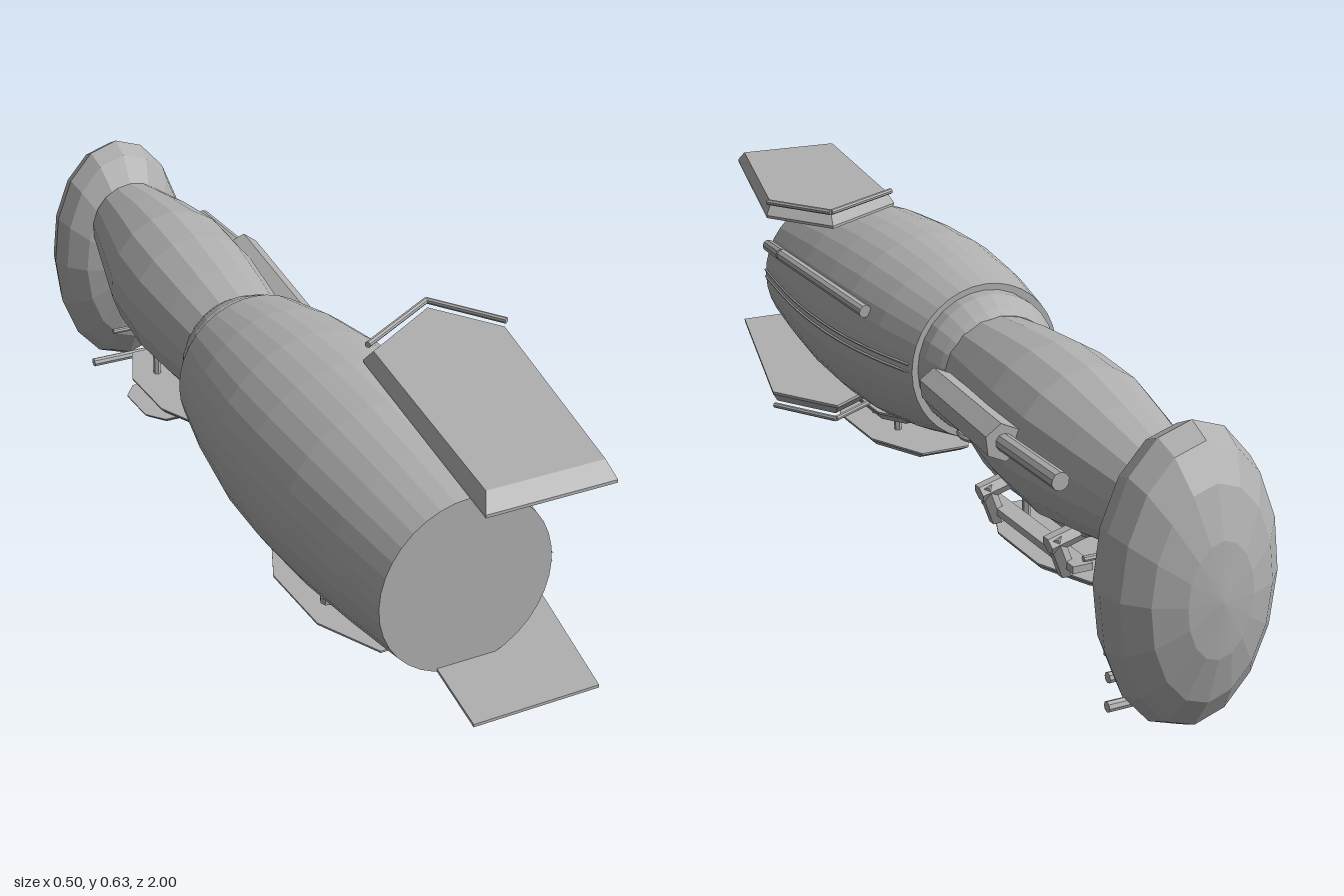
import * as THREE from 'three';
import { ConvexGeometry } from 'three/addons/geometries/ConvexGeometry.js';

export function createModel() {
  const root = new THREE.Group();
  const grey = new THREE.MeshStandardMaterial({ color: 0xb0b0b0, flatShading: true });
  grey.name = 'plainGrey';
  const V = (x, y, z) => new THREE.Vector3(x, y, z);

  const add = (name, geo) => {
    const m = new THREE.Mesh(geo, grey);
    m.name = name;
    root.add(m);
    return m;
  };
  const box = (name, x0, x1, y0, y1, z0, z1) =>
    add(name, new THREE.BoxGeometry(x1 - x0, y1 - y0, z1 - z0)
      .translate((x0 + x1) / 2, (y0 + y1) / 2, (z0 + z1) / 2));
  // straight bar between two points
  const rod = (name, a, b, r, sides = 8) => {
    const m = add(name, new THREE.CylinderGeometry(r, r, a.distanceTo(b), sides));
    m.position.copy(a).lerp(b, 0.5);
    m.quaternion.setFromUnitVectors(V(0, 1, 0), b.clone().sub(a).normalize());
    return m;
  };
  // closed round body along z; each section is [z, x, y, radius]
  const body = (name, sections, sides) => {
    const s = [...sections].sort((a, b) => a[0] - b[0]);
    const pts = s.map(([z, , , r]) => new THREE.Vector2(r, z));
    pts.unshift(new THREE.Vector2(0, s[0][0]));
    pts.push(new THREE.Vector2(0, s[s.length - 1][0]));
    const geo = new THREE.LatheGeometry(pts, sides).rotateX(Math.PI / 2);
    const p = geo.attributes.position;
    for (let i = 0; i < p.count; i++) {
      const z = p.getZ(i);
      const c = s.reduce((a, b) => (Math.abs(b[0] - z) < Math.abs(a[0] - z) ? b : a));
      p.setXY(i, p.getX(i) + c[1], p.getY(i) + c[2]);
    }
    geo.computeVertexNormals();
    return add(name, geo);
  };
  // bevelled plate: wide outline at yWide, a thin lip, then narrow outline at yNarrow
  const slab = (name, outline, yWide, yNarrow, scale) => {
    const cx = outline.reduce((t, q) => t + q[0], 0) / outline.length;
    const cz = outline.reduce((t, q) => t + q[1], 0) / outline.length;
    const pts = [];
    for (const [x, z] of outline) {
      pts.push(V(x, yWide, z), V(x, yWide + (yNarrow - yWide) * 0.2, z));
      pts.push(V(cx + (x - cx) * scale, yNarrow, cz + (z - cz) * scale));
    }
    return add(name, new ConvexGeometry(pts));
  };
  // elongated octagon outline
  const octagon = (x0, x1, z0, z1, cx, cz) => [
    [x0 + cx, z0], [x1 - cx, z0], [x1, z0 + cz], [x1, z1 - cz],
    [x1 - cx, z1], [x0 + cx, z1], [x0, z1 - cz], [x0, z0 + cz]];

  // main round sections
  body('frontBarrel', [
    [0.84, -0.05, 0.356, 0.168], [0.7, -0.047, 0.359, 0.187], [0.55, -0.044, 0.362, 0.203],
    [0.4, -0.041, 0.364, 0.209], [0.27, -0.039, 0.366, 0.206], [0.13, -0.036, 0.369, 0.189],
    [0.0, -0.034, 0.371, 0.163]], 36);
  body('neckCollar', [
    [0.02, -0.032, 0.374, 0.148], [-0.03, -0.03, 0.374, 0.147], [-0.07, -0.027, 0.372, 0.132],
    [-0.09, -0.026, 0.371, 0.122]], 28);
  body('rearBarrel', [
    [-0.07, -0.023, 0.37, 0.121], [-0.2, -0.013, 0.37, 0.137], [-0.35, 0.0, 0.37, 0.15],
    [-0.5, 0.015, 0.37, 0.149], [-0.65, 0.03, 0.374, 0.125], [-0.8, 0.042, 0.376, 0.097]], 18);
  const cap = add('endDome', new THREE.SphereGeometry(1, 16, 8).rotateX(Math.PI / 2));
  cap.scale.set(0.163, 0.274, 0.116);
  cap.position.set(0.042, 0.277, -0.882);

  // upper and lower wing plates, mirrored in y, with a rail along the rear edges
  const wing = [[-0.127, 1.0], [0.118, 1.0], [0.248, 0.47], [0.157, 0.325], [-0.038, 0.45]];
  for (const [tag, f] of [['upper', (y) => y], ['lower', (y) => 0.794 - y]]) {
    slab(tag + 'Wing', wing, f(0.592), f(0.62), 0.91);
    const rail = [V(-0.03, f(0.625), 0.45), V(0.157, f(0.625), 0.335), V(0.243, f(0.625), 0.475)];
    rod(tag + 'WingRail', rail[0], rail[1], 0.006);
    rod(tag + 'WingRail', rail[1], rail[2], 0.006);
  }

  // bent side rail
  const bend = V(0.197, 0.492, 0.52);
  rod('sideRail', V(0.142, 0.45, 0.75), bend, 0.014, 10);
  rod('sideRail', bend, V(0.15, 0.452, 0.18), 0.014, 10);

  // twin seam strips along the front barrel
  const seam = [[0.838, 0.119], [0.7, 0.14], [0.55, 0.159], [0.4, 0.168], [0.27, 0.167], [0.13, 0.153], [0.01, 0.13]];
  for (const dy of [0, 0.016]) {
    const path = new THREE.CatmullRomCurve3(
      seam.map(([z, x]) => V(x, 0.352 + dy + (0.84 - z) * 0.02, z)));
    add('seamStrip', new THREE.TubeGeometry(path, 24, 0.003, 5));
  }

  // side tool: six-sided housing and slim rod
  rod('toolHousing', V(0.138, 0.388, -0.13), V(0.18, 0.402, -0.495), 0.036, 6);
  rod('toolRod', V(0.178, 0.402, -0.48), V(0.178, 0.402, -0.7), 0.017, 10);

  // handle ring under the neck
  const ring = add('neckRing', new THREE.TorusGeometry(0.048, 0.007, 6, 20).rotateX(Math.PI / 2));
  ring.position.set(-0.01, 0.236, -0.04);

  // cradle beneath the rear barrel
  const cradle = [];
  for (const [z, y, w] of [[-0.13, 0.32, 0.09], [-0.2, 0.24, 0.06], [-0.27, 0.222, 0.055],
    [-0.5, 0.222, 0.055], [-0.6, 0.24, 0.06], [-0.65, 0.31, 0.09]]) {
    cradle.push(V(0.01 - w, y, z), V(0.01 + w, y, z));
  }
  add('cradle', new ConvexGeometry(cradle));
  for (const z of [-0.3, -0.57]) {
    rod('cradleArm', V(0.04, 0.25, z), V(0.13, 0.225, z), 0.018, 6);
    rod('cradleHook', V(0.118, 0.24, z), V(0.09, 0.165, z), 0.017, 6);
  }
  box('cradleBar', 0.06, 0.1, 0.18, 0.194, -0.61, -0.25);
  rod('cradlePin', V(-0.09, 0.205, -0.61), V(0.08, 0.205, -0.61), 0.006);

  // layered belly plates with a lattice on the underside
  const lattice = (x0, x1, z0, z1, y) => {
    for (let i = 0; i < 3; i++) {
      const x = x0 + ((x1 - x0) * i) / 2;
      box('latticeBar', x - 0.003, x + 0.003, y - 0.005, y, z0, z1);
    }
    for (let i = 0; i < 4; i++) {
      const z = z0 + ((z1 - z0) * i) / 3;
      box('latticeBar', x0, x1, y - 0.005, y, z - 0.003, z + 0.003);
    }
  };
  slab('frontBellyMount', octagon(-0.135, 0.055, 0.28, 0.56, 0.04, 0.06), 0.166, 0.144, 0.85);
  slab('frontBellyPlate', octagon(-0.155, 0.075, 0.2, 0.64, 0.06, 0.13), 0.111, 0.092, 0.87);
  slab('frontBellyPad', octagon(-0.1, 0.03, 0.3, 0.5, 0.025, 0.04), 0.092, 0.081, 0.85);
  lattice(-0.065, -0.015, 0.34, 0.46, 0.081);
  slab('rearBellyPlate', octagon(-0.1, 0.1, -0.6, -0.2, 0.05, 0.12), 0.148, 0.131, 0.87);
  slab('rearBellyPad', octagon(-0.13, 0.055, -0.48, -0.3, 0.03, 0.04), 0.131, 0.119, 0.87);
  lattice(-0.06, 0.0, -0.44, -0.34, 0.119);
  for (const x of [-0.08, 0.0]) {
    for (const z of [0.36, 0.48]) {
      rod('frontBellyPost', V(x, 0.1, z), V(x, 0.17, z), 0.008, 6);
    }
    for (const z of [-0.32, -0.48]) {
      rod('rearBellyPost', V(x + 0.04, 0.14, z), V(x + 0.04, 0.23, z), 0.008, 6);
    }
  }
  rod('bellyStud', V(-0.14, 0.16, 0.52), V(-0.14, 0.172, 0.52), 0.014, 8);

  // cross pins at the foot of the dome
  rod('longPin', V(-0.062, 0.028, -0.815), V(0.146, 0.028, -0.815), 0.01);
  rod('shortPin', V(0.09, 0.083, -0.815), V(0.146, 0.083, -0.815), 0.01);
  box('pinTab', 0.139, 0.149, 0.122, 0.138, -0.825, -0.805);

  return root;
}
